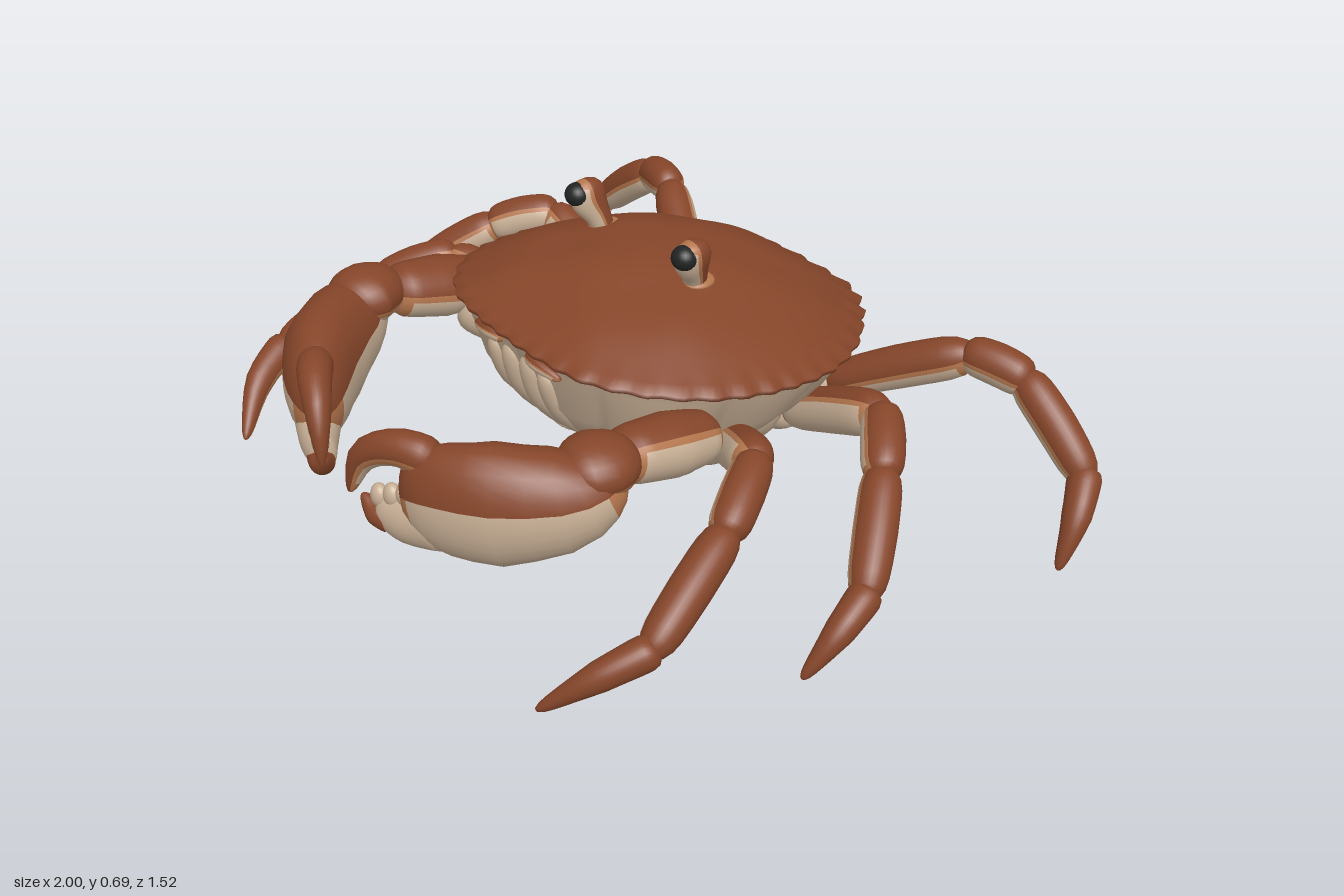
import * as THREE from 'three';

const mat = (name, color) => {
  const m = new THREE.MeshStandardMaterial({ color });
  m.name = name;
  return m;
};
const V = (a) => new THREE.Vector3(a[0], a[1], a[2]);

// Surface from rings of closed sections; slot(i, j) picks one of the materials
function grid(rings, cols, point, slot = () => 0) {
  const pos = [], lists = [[], [], []];
  for (let i = 0; i <= rings; i++) for (let j = 0; j < cols; j++) pos.push(...point(i, j));
  for (let i = 0; i < rings; i++) for (let j = 0; j < cols; j++) {
    const k = (j + 1) % cols, a = i * cols + j, b = i * cols + k, c = a + cols, d = b + cols;
    lists[slot(i, j)].push(a, c, b, b, c, d);
  }
  const g = new THREE.BufferGeometry();
  g.setAttribute('position', new THREE.Float32BufferAttribute(pos, 3));
  g.setIndex(lists.flat());
  let start = 0;
  lists.forEach((l, n) => { if (l.length) g.addGroup(start, l.length, n); start += l.length; });
  g.computeVertexNormals();
  return g;
}

// Rounded limb through points [x, y, z, halfWidth, halfHeight]; its "up" side takes the first colour
function limb(pts, up, split, band, k) {
  const curve = new THREE.CatmullRomCurve3(pts.map(V));
  const N = 14, C = 28;
  const lerp = (u, n) => {
    const f = u * (pts.length - 1), a = Math.min(Math.floor(f), pts.length - 2);
    return THREE.MathUtils.lerp(pts[a][n], pts[a + 1][n], f - a);
  };
  return grid(N, C, (i, j) => {
    const u = (1 - Math.cos(Math.PI * i / N)) / 2;
    const c = curve.getPoint(u), t = curve.getTangent(u);
    const y = V(up).addScaledVector(t, -V(up).dot(t)).normalize();
    const x = new THREE.Vector3().crossVectors(y, t);
    const m = Math.sqrt(Math.max(0, 1 - Math.abs(2 * u - 1) ** k)), a = 2 * Math.PI * j / C;
    return c.addScaledVector(y, m * lerp(u, 4) * Math.cos(a))
      .addScaledVector(x, m * lerp(u, 3) * Math.sin(a)).toArray();
  }, (i, j) => {
    const h = Math.cos(2 * Math.PI * (j + 0.5) / C), end = split < 1 && (i < 3 || i > 10);
    return h > split ? 0 : h > split - band || end ? 1 : 2;
  });
}

export function createModel() {
  const crab = new THREE.Group();
  crab.name = 'crab';
  const brown = mat('shell brown', 0x86462a), tan = mat('edge tan', 0xb4764d);
  const pale = mat('belly cream', 0xc9b096), black = mat('eye black', 0x222423);
  const tones = [brown, tan, pale];
  const add = (name, geo, material, parent = crab) => {
    const m = new THREE.Mesh(geo, material);
    m.name = name;
    parent.add(m);
  };
  const ball = (name, p, s, material, parent, rot = [0, 0, 0]) => {
    const geo = new THREE.SphereGeometry(1, 20, 14).scale(...s);
    geo.rotateX(rot[0]).rotateY(rot[1]).rotateZ(rot[2]).translate(...p);
    add(name, geo, material, parent);
  };

  // Shell outline, front centre round to the back and mirrored
  const half = [[0.12, 0.275], [0.25, 0.25], [0.365, 0.17], [0.445, 0.05], [0.48, -0.08], [0.485, -0.2], [0.46, -0.33],
    [0.39, -0.465], [0.28, -0.585], [0.16, -0.665]];
  const loop = [[0, 0.28], ...half, [0, -0.68], ...half.map(([x, z]) => [-x, z]).reverse()];
  const outline = new THREE.CatmullRomCurve3(loop.map(([x, z]) => new THREE.Vector3(x, 0, z)), true);
  const cols = 200, zc = -0.13;
  const rim = Array.from({ length: cols }, (_, j) => outline.getPoint(j / cols));
  const rimY = (z) => 0.36 + 0.13 * (z + 0.69) / 0.97;

  // Smooth domed upper shell with a toothed edge and a lighter lip beneath
  add('carapace', grid(20, cols, (i, j) => {
    const under = i > 18, s = under ? (i === 19 ? 0.995 : 0.95) : i / 18;
    const size = rim[j].z < -0.55 ? 1.1 : 0.65;
    const tooth = size * [0, 0.008, 0.022, 0.028, 0.012][j % 5] * Math.max(0, (s - 0.9) * 10);
    const r = s * (1 + tooth), x = rim[j].x * r, z = zc + (rim[j].z - zc) * r;
    const lumps = 0.007 * Math.cos(x * 20) * Math.cos(z * 15) * (1 - s * s) * Math.min(1, s * 3);
    const edge = rimY(rim[j].z);
    const y = under ? edge - (i === 19 ? 0.012 : 0.024) : edge + (0.6 - edge) * (1 - s ** 2) + lumps;
    return [x, y, z];
  }, (i) => (i === 19 ? 1 : 0)), tones);

  // Tapered underside with shallow lobes
  const section = [[0.975, -0.01], [0.95, -0.04], [0.88, 0.31], [0.78, 0.25], [0.66, 0.195], [0.54, 0.15],
    [0.42, 0.125], [0.25, 0.125], [0, 0.125]];
  add('underbody', grid(section.length - 1, cols, (i, j) => {
    const [s, h] = section[i];
    const lobe = i > 1 && i < 6 ? 0.96 + 0.05 * Math.sqrt(Math.abs(Math.sin(Math.PI * j / 20))) : 1;
    const tilt = 0.35 * (rimY(rim[j].z) - 0.42) * s;
    const y = i < 2 ? rimY(rim[j].z) + h : h + tilt;
    return [rim[j].x * s * lobe, y, zc + (rim[j].z - zc) * s * lobe];
  }), pale);

  // Abdomen flap in flat plates
  for (let n = 0; n < 6; n++) {
    ball('abdomenPlate', [0, 0.13 + 0.012 * Math.max(0, n - 3), -0.1 - n * 0.062], [0.05 + 0.014 * n, 0.016, 0.042], pale);
  }

  // Three walking legs per side: joints from body to claw tip
  const legs = {
    frontLeg: [[0.16, 0.15, -0.16], [0.32, 0.205, -0.12], [0.6, 0.365, 0.04], [0.695, 0.3, 0.2], [0.77, 0.16, 0.46], [0.64, 0.015, 0.665]],
    middleLeg: [[0.16, 0.15, -0.3], [0.31, 0.205, -0.34], [0.635, 0.37, -0.31], [0.755, 0.32, -0.2], [0.905, 0.16, -0.02], [0.905, 0.015, 0.155]],
    backLeg: [[0.14, 0.16, -0.4], [0.26, 0.195, -0.51], [0.57, 0.365, -0.67], [0.705, 0.345, -0.715], [0.915, 0.185, -0.712], [0.977, 0.008, -0.58]],
  };
  const names = ['coxa', 'thigh', 'knee', 'shin', 'tip'];
  const radii = [[0.054, 0.052], [0.05, 0.058], [0.051, 0.052], [0.052, 0.048], [0.046, 0.012]];

  for (const s of [1, -1]) {
    const side = s > 0 ? 'left' : 'right';
    const flip = (p) => [p[0] * s, ...p.slice(1)];
    const group = (name) => {
      const g = new THREE.Group();
      g.name = side + name;
      crab.add(g);
      return g;
    };
    const part = (name, parent, pts, up, split, band = 0.24, k = 6) =>
      add(name, limb(pts.map(flip), flip(up), split, band, k), tones, parent);

    for (const [name, joints] of Object.entries(legs)) {
      const g = group(name[0].toUpperCase() + name.slice(1));
      const up = [0.55, 0.8, name === 'backLeg' ? 0 : -0.15];
      for (let n = 0; n < 5; n++) {
        const a = V(joints[n]), b = V(joints[n + 1]), [r0, r1] = radii[n], tip = n === 4;
        const d = b.clone().sub(a).normalize();
        a.addScaledVector(d, -0.018);
        if (!tip) b.addScaledVector(d, 0.018);
        const bulge = tip ? [0.018, 0.022, 0.01] : [0.003, 0.007, 0];
        const mid = a.clone().lerp(b, 0.5).add(V(bulge));
        const rm = (r0 + r1) / 2 + (tip ? 0.008 : 0.003);
        part(names[n], g, [[...a.toArray(), r0 * 0.92, r0], [...mid.toArray(), rm * 0.92, rm], [...b.toArray(), r1 * 0.92, r1]],
          up, [2, 0.5, 0.15, 0.1, -0.65][n], 0.24, tip ? 12 : 6);
      }
    }

    // Claw arm, wrist, palm and two fingers
    const claw = group('Claw'), up = [0, 1, 0];
    part('upperArm', claw, [[0.2, 0.2, -0.04, 0.06, 0.06], [0.35, 0.29, 0.05, 0.07, 0.07], [0.43, 0.34, 0.13, 0.07, 0.07]], up, 2);
    part('forearm', claw, [[0.45, 0.36, 0.04, 0.065, 0.06], [0.455, 0.385, 0.17, 0.085, 0.075], [0.46, 0.415, 0.32, 0.07, 0.065]],
      [-0.3, 0.95, 0], 0.4, 0.24, 10);
    part('wrist', claw, [[0.46, 0.42, 0.28, 0.07, 0.06], [0.47, 0.425, 0.37, 0.095, 0.07], [0.45, 0.42, 0.46, 0.09, 0.07]], up, -0.2, 0.28, 3);
    part('palm', claw, [[0.515, 0.41, 0.33, 0.07, 0.06], [0.465, 0.365, 0.44, 0.1, 0.12], [0.37, 0.345, 0.56, 0.1, 0.148],
      [0.27, 0.335, 0.635, 0.08, 0.135], [0.18, 0.32, 0.685, 0.05, 0.1]], up, 0.3, 0.13, 8);
    part('upperFinger', claw, [[0.26, 0.43, 0.64, 0.045, 0.05], [0.175, 0.44, 0.69, 0.04, 0.042], [0.1, 0.395, 0.728, 0.03, 0.036],
      [0.06, 0.285, 0.75, 0.01, 0.012]], [-0.6, 0.6, 0.3], -0.3, 0.25, 12);
    part('lowerFinger', claw, [[0.28, 0.28, 0.635, 0.06, 0.075], [0.19, 0.26, 0.685, 0.045, 0.06], [0.12, 0.262, 0.71, 0.028, 0.042]],
      up, 2, 0.1, 12);
    part('lowerFingerTip', claw, [[0.16, 0.243, 0.7, 0.034, 0.034], [0.12, 0.252, 0.718, 0.03, 0.03], [0.08, 0.285, 0.73, 0.008, 0.008]],
      up, -2, 0.1, 12);
    for (let n = 0; n < 3; n++) {
      ball('fingerTooth', flip([0.2 - n * 0.035, 0.33 - n * 0.015, 0.69 + n * 0.012]), [0.024, 0.03, 0.02], pale, claw);
    }

    // Eye on a stalk, cream in front and brown behind
    const eye = group('Eye');
    part('stalk', eye, [[0.172, 0.545, -0.14, 0.026, 0.028], [0.185, 0.6, -0.125, 0.029, 0.032], [0.2, 0.65, -0.105, 0.035, 0.05],
      [0.206, 0.698, -0.1, 0.033, 0.044]], [0, 0.3, -1], -0.1, 0.2);
    ball('pupil', flip([0.205, 0.664, -0.076]), [0.032, 0.03, 0.031], black, eye);
    ball('socket', flip([0.175, 0.572, -0.14]), [0.042, 0.016, 0.044], tan, eye);

    // Mouth plates and feelers below the front edge
    const mouth = group('Mouth');
    part('innerMouthPlate', mouth, [[0.036, 0.44, 0.25, 0.034, 0.025], [0.036, 0.32, 0.21, 0.036, 0.03], [0.036, 0.19, 0.1, 0.03, 0.025]], [0, 0.4, 1], 2);
    part('outerMouthPlate', mouth, [[0.1, 0.43, 0.25, 0.03, 0.025], [0.1, 0.31, 0.2, 0.034, 0.028], [0.08, 0.2, 0.09, 0.03, 0.025]], [0, 0.4, 1], 2);
    part('feeler', mouth, [[0.05, 0.45, 0.25, 0.02, 0.02], [0.1, 0.455, 0.265, 0.018, 0.018], [0.17, 0.44, 0.25, 0.012, 0.012]], up, 0.5);

    // Breast plates between the leg roots
    for (let n = 0; n < 4; n++) {
      ball('breastPlate', flip([0.1, 0.132, 0.03 - n * 0.115]), [0.085, 0.02, 0.052], pale, crab, [0, s * 0.3 * (1 - n * 0.6), 0]);
    }
    // Rounded leg roots and the flank lobes above them
    for (let n = 0; n < 3; n++) {
      ball('legRoot', flip([0.22 - 0.02 * n, 0.145 + 0.008 * n, -0.15 - n * 0.16]), [0.085, 0.044, 0.07], pale, crab, [0, 0, s * 0.25]);
      ball('flankLobe', flip([0.285 - 0.025 * n, 0.22, -0.12 - n * 0.13]), [0.075, 0.12, 0.075], pale, crab, [0, 0, -s * 0.6]);
    }
  }
  return crab;
}
